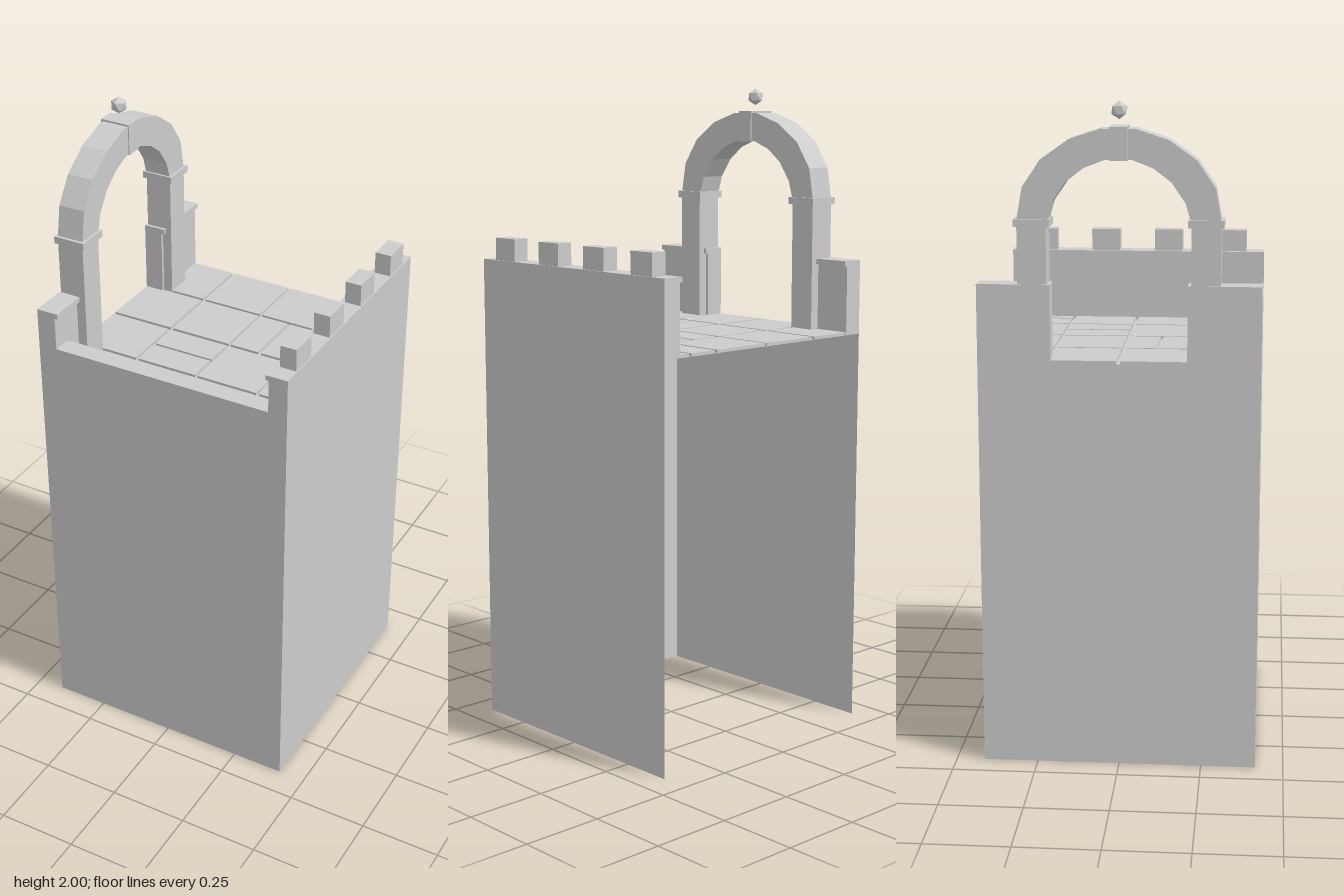
import * as THREE from 'three';

export function createModel() {
  const model = new THREE.Group();
  model.name = 'towerTop';
  const stone = new THREE.MeshStandardMaterial({ color: 0xcccccc, flatShading: true, side: THREE.DoubleSide });
  stone.name = 'stone grey';

  const H = 0.415;       // half width of the tower
  const FLOOR = 1.245;   // height of the floor bed
  const WALL = 1.475;    // top of the side walls

  const add = (name, geometry) => {
    const mesh = new THREE.Mesh(geometry, stone);
    mesh.name = name;
    model.add(mesh);
    return mesh;
  };
  // Box given by its extents on each axis
  const box = (name, x0, x1, y0, y1, z0, z1) =>
    add(name, new THREE.BoxGeometry(x1 - x0, y1 - y0, z1 - z0)
      .translate((x0 + x1) / 2, (y0 + y1) / 2, (z0 + z1) / 2));

  // Thin outer walls, open at the back and underneath
  [['frontWall', 0], ['rightWall', Math.PI / 2], ['leftWall', -Math.PI / 2]].forEach(([name, turn]) =>
    add(name, new THREE.PlaneGeometry(2 * H, FLOOR).translate(0, FLOOR / 2, H).rotateY(turn)));

  // Floor bed
  add('floor', new THREE.PlaneGeometry(2 * H, 2 * H).rotateX(-Math.PI / 2).translate(0, FLOOR, 0));

  // Paving slabs: x0, x1, z0, z1
  const columns = [[-H, -0.213], [-0.203, -0.005], [0.003, 0.203], [0.213, 0.355]];
  const rows = [[-0.412, -0.215], [-0.205, -0.007], [0.004, 0.201], [0.212, 0.365]];
  rows.forEach(([z0, z1], r) => columns.forEach(([x0, x1], c) => {
    let parts = [[x0, x1, z0, z1]];
    if (r === 0 && c === 3) parts = [[x0, 0.307, z0, z1], [0.317, x1, z0, z1]];
    if (r === 1 && c === 2) parts = [[x0, 0.099, z0, z1], [0.109, x1, z0, z1]];
    if (r === 2 && c === 1) parts = [[x0, x1, z0, 0.099], [x0, x1, 0.107, z1]];
    parts.forEach(([a, b, d, e]) => box('slab', a, b, FLOOR, FLOOR + 0.009, d, e));
  }));

  // Front parapet with its coping
  box('frontParapet', -0.355, 0.355, FLOOR, 1.355, 0.365, H);
  box('frontCoping', -0.355, 0.355, 1.34, 1.356, 0.355, H);

  // Battlemented parapet on the +x side
  box('battlementWall', 0.355, H, FLOOR, WALL, -H, H);
  box('battlementCoping', 0.345, H, 1.46, WALL + 0.001, -H, H);
  [-0.314, -0.106, 0.101, 0.311].forEach(z =>
    box('merlon', 0.36, 0.411, WALL, 1.545, z - 0.046, z + 0.046));

  // Gateway on the -x side: wall stubs, pillars and capitals
  for (const s of [-1, 1]) {
    const mirrored = (name, x0, x1, y0, y1, a, b) =>
      box(name, x0, x1, y0, y1, Math.min(s * a, s * b), Math.max(s * a, s * b));
    mirrored('gateWall', -H, -0.355, FLOOR, WALL, 0.2, H);
    mirrored('gateCoping', -H, -0.345, 1.46, WALL + 0.001, 0.2, H);
    mirrored('pillar', -0.41, -0.325, FLOOR, 1.66, 0.21, 0.295);
    mirrored('capital', -0.417, -0.316, 1.643, 1.665, 0.2, 0.304);
  }

  // Faceted arch, half outline mirrored about its middle
  const outer = [[0.295, 1.66], [0.278, 1.757], [0.225, 1.835], [0.145, 1.892], [0.05, 1.923]];
  const inner = [[0.208, 1.66], [0.192, 1.714], [0.152, 1.772], [0.1, 1.812], [0.04, 1.835]];
  const flip = list => list.map(([z, y]) => [-z, y]).reverse();
  const outline = [...outer, ...flip(outer), ...flip(inner).reverse(), ...[...inner].reverse()];
  const shape = new THREE.Shape(outline.map(([z, y]) => new THREE.Vector2(z, y)));
  add('arch', new THREE.ExtrudeGeometry(shape, { depth: 0.085, bevelEnabled: false })
    .rotateY(-Math.PI / 2).translate(-0.325, 0, 0));

  // Keystone and faceted finial
  box('keystone', -0.418, -0.322, 1.833, 1.929, -0.026, 0.026);
  const golden = (1 + Math.sqrt(5)) / 2;
  add('finial', new THREE.IcosahedronGeometry(0.026, 0)
    .rotateX(-Math.atan2(golden, 1)).translate(-0.37, 1.974, 0));

  return model;
}
